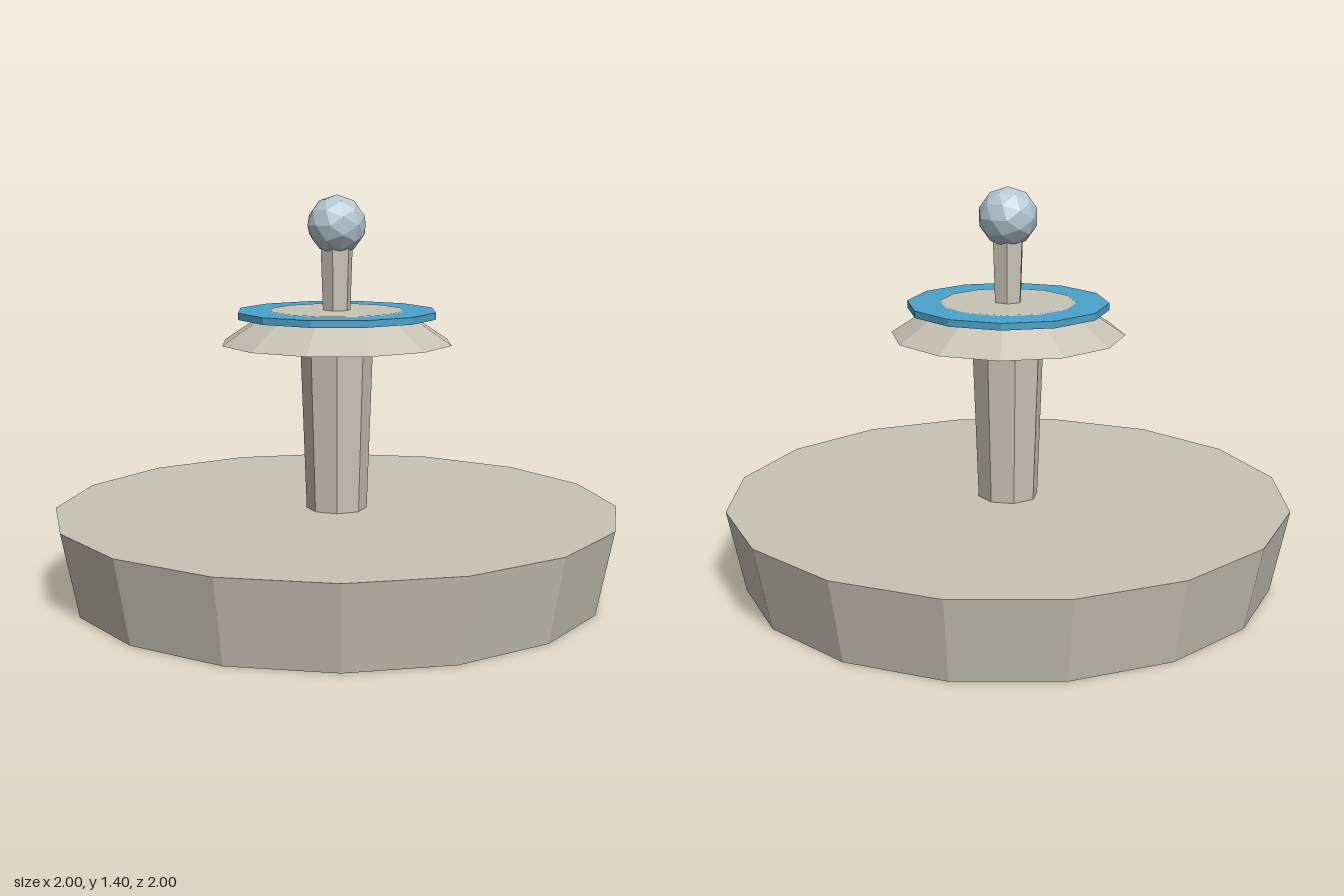
import * as THREE from 'three';

export function createModel() {
  const group = new THREE.Group();
  const material = (name, color) => {
    const m = new THREE.MeshStandardMaterial({ color, flatShading: true });
    m.name = name;
    return m;
  };
  const stone = material('stone', 0xc8c3b6);
  const water = material('water blue', 0x4aa2cc);
  const pearl = material('pale blue grey', 0xb4c8d2);

  const add = (name, geometry, mat, y) => {
    const mesh = new THREE.Mesh(geometry, mat);
    mesh.name = name;
    mesh.position.y = y;
    group.add(mesh);
  };
  // Tapered faceted drum between two heights
  const drum = (name, rTop, rBottom, y0, y1, sides, mat) =>
    add(name, new THREE.CylinderGeometry(rTop, rBottom, y1 - y0, sides), mat, (y0 + y1) / 2);

  // Wide base and column
  drum('base', 1, 0.94, 0, 0.295, 16, stone);
  drum('column', 0.128, 0.107, 0.295, 0.887, 8, stone);

  // Upper tier: sloped skirt whose top shows inside the water disc
  drum('upperTier', 0.236, 0.41, 0.887, 1.002, 12, stone);
  drum('waterDisc', 0.353, 0.353, 0.976, 1.0, 12, water);

  // Spout and ball finial
  drum('spout', 0.058, 0.05, 1.0, 1.23, 6, stone);
  add('finial', new THREE.IcosahedronGeometry(0.104, 1), pearl, 1.298);

  return group;
}
